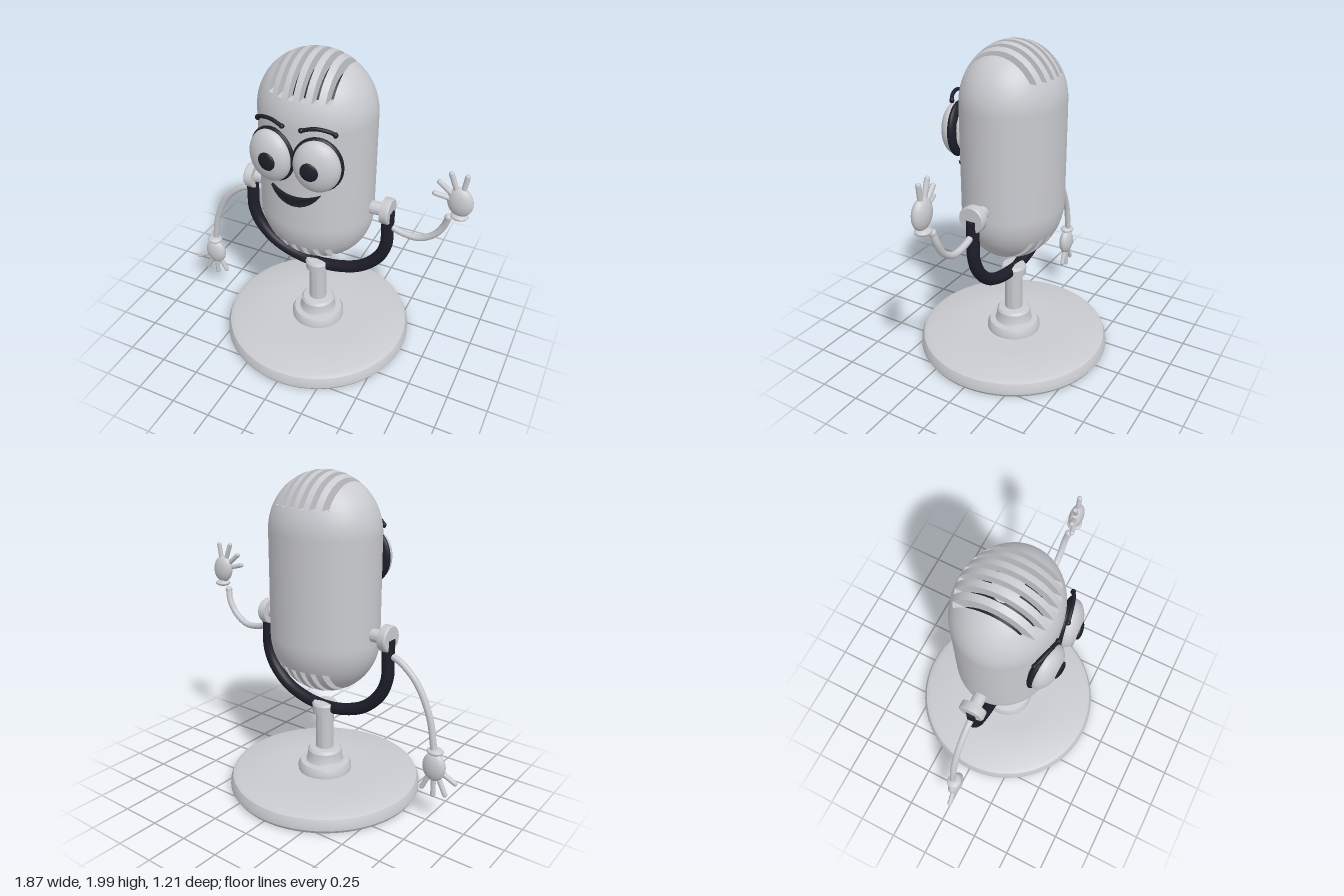
import * as THREE from 'three';
import { toCreasedNormals } from 'three/addons/utils/BufferGeometryUtils.js';

const V = (x, y, z = 0) => new THREE.Vector3(x, y, z);

export function createModel() {
  const metal = new THREE.MeshStandardMaterial({ color: 0xc9cacf });
  metal.name = 'light grey';
  const dark = new THREE.MeshStandardMaterial({ color: 0x1e1e2a });
  dark.name = 'near black';

  const model = new THREE.Group();
  model.name = 'microphone';
  const add = (name, geo, mat, parent = model, pos = [0, 0, 0]) => {
    const mesh = new THREE.Mesh(geo, mat);
    mesh.name = name;
    mesh.position.set(...pos);
    parent.add(mesh);
    return mesh;
  };
  const lathe = (pts, seg = 64) =>
    toCreasedNormals(new THREE.LatheGeometry(pts.map(p => new THREE.Vector2(...p)), seg), 0.6);
  const tube = (pts, r, seg = 40) =>
    new THREE.TubeGeometry(new THREE.CatmullRomCurve3(pts), seg, r, 14);
  const ball = (name, pos, radii, mat, parent = model) => {
    const mesh = add(name, new THREE.SphereGeometry(1, 36, 24), mat, parent, pos);
    mesh.scale.set(...radii);
    return mesh;
  };
  const rod = (name, a, b, r, mat, parent = model) => {
    const mesh = add(name, new THREE.CapsuleGeometry(r, a.distanceTo(b), 6, 12), mat, parent);
    mesh.position.copy(a).lerp(b, 0.5);
    mesh.quaternion.setFromUnitVectors(V(0, 1), b.clone().sub(a).normalize());
    return mesh;
  };

  // Base and stepped stand
  add('base', lathe([[0, 0], [0.595, 0], [0.607, 0.02], [0.605, 0.05], [0.59, 0.085],
    [0.56, 0.1], [0.3, 0.102], [0, 0.102]], 72), metal);
  add('stand', lathe([[0.17, 0.1], [0.17, 0.13], [0.155, 0.16], [0.12, 0.165], [0.112, 0.18],
    [0.108, 0.235], [0.095, 0.25], [0.056, 0.255], [0.056, 0.49], [0.078, 0.5], [0.08, 0.55],
    [0.07, 0.565], [0, 0.568]], 40), metal);

  // Body: a capsule, flattened front to back, with a slotted grille at each end
  const R = 0.35, CORE = 0.29, CUT = 0.16, TOP = 1.64, BOTTOM = 1.01;
  const body = new THREE.Group();
  body.name = 'body';
  body.scale.z = 0.857;
  model.add(body);
  const profile = [];
  const cutAngle = Math.asin(CUT / R);
  for (let i = 0; i <= 8; i++) {
    const a = -cutAngle * (1 - i / 8);
    profile.push(new THREE.Vector2(R * Math.cos(a), BOTTOM + R * Math.sin(a)));
  }
  for (let i = 0; i <= 8; i++) {
    const a = cutAngle * i / 8;
    profile.push(new THREE.Vector2(R * Math.cos(a), TOP + R * Math.sin(a)));
  }
  add('shell', new THREE.LatheGeometry(profile, 72), metal, body);

  // Lofts dome slices along x; each row is [x, sphere radius]
  const domeLoft = rows => {
    const n = 32, pos = [], idx = [];
    rows.forEach(([x, r], i) => {
      const rho = Math.sqrt(Math.max(r * r - x * x, 0));
      const limit = Math.acos(Math.min(1, CUT / rho));
      for (let j = 0; j <= n; j++) {
        const t = limit * (2 * j / n - 1);
        pos.push(x, rho * Math.cos(t), rho * Math.sin(t));
        if (i < rows.length - 1 && j < n) {
          const a = i * (n + 1) + j, b = a + n + 1;
          idx.push(a, a + 1, b, a + 1, b + 1, b);
        }
      }
    });
    const geo = new THREE.BufferGeometry();
    geo.setAttribute('position', new THREE.Float32BufferAttribute(pos, 3));
    geo.setIndex(idx);
    return toCreasedNormals(geo, 0.6);
  };

  const PITCH = 0.068, HALF = 0.018, EDGE = 0.187;
  const rim = Math.sqrt(R * R - CUT * CUT);
  const cheek = [];
  for (let i = 0; i <= 12; i++) cheek.push([EDGE + (rim - EDGE) * Math.sin(i / 12 * Math.PI / 2), R]);
  for (const [name, y, turn] of [['topGrille', TOP, 0], ['bottomGrille', BOTTOM, Math.PI]]) {
    const grille = new THREE.Group();
    grille.name = name;
    grille.position.y = y;
    grille.rotation.x = turn;
    body.add(grille);
    add('core', new THREE.SphereGeometry(CORE, 48, 16, 0, Math.PI * 2, 0.33, 0.75), dark, grille);
    add('coreCap', new THREE.SphereGeometry(CORE, 48, 8, 0, Math.PI * 2, 0, 0.33), metal, grille);
    add('ledge', new THREE.RingGeometry(0.235, rim, 64).rotateX(-Math.PI / 2), metal, grille, [0, CUT, 0]);
    for (let k = -2; k <= 2; k++) {
      const a = k * PITCH - HALF, b = k * PITCH + HALF;
      add('grilleBar', domeLoft([[a, CORE], [a, R], [k * PITCH, R], [b, R], [b, CORE]]), metal, grille);
    }
    add('leftCheek', domeLoft([[EDGE, CORE], ...cheek]), metal, grille);
    add('rightCheek', domeLoft([[EDGE, CORE], ...cheek].map(([x, r]) => [-x, r]).reverse()), metal, grille);
  }

  // Face
  for (const s of [-1, 1]) {
    const eye = new THREE.Group();
    eye.name = s > 0 ? 'leftEye' : 'rightEye';
    eye.position.set(s * 0.138, 1.465, 0.285);
    eye.rotation.y = s * 0.15;
    model.add(eye);
    ball('eyeRim', [0, 0, 0], [0.147, 0.168, 0.042], dark, eye);
    ball('eyeball', [0, 0, 0.018], [0.135, 0.157, 0.077], metal, eye);
    ball('pupil', [-s * 0.022, 0, 0.086], [0.054, 0.056, 0.02], dark, eye);
    add('eyebrow', tube([V(s * 0.235, 1.66, 0.265), V(s * 0.2, 1.682, 0.285),
      V(s * 0.13, 1.692, 0.305), V(s * 0.055, 1.672, 0.32)], 0.011, 24), dark);
    ball('browTip', [s * 0.232, 1.66, 0.268], [0.014, 0.017, 0.014], dark);
    ball('browTip', [s * 0.057, 1.673, 0.32], [0.015, 0.014, 0.015], dark);
  }
  const smile = new THREE.Shape();
  smile.moveTo(-0.152, 1.262);
  smile.quadraticCurveTo(0, 1.195, 0.152, 1.262);
  smile.bezierCurveTo(0.08, 1.145, -0.08, 1.145, -0.152, 1.262);
  const mouth = new THREE.ExtrudeGeometry(smile, { depth: 0.03, bevelEnabled: false, curveSegments: 20 });
  const mp = mouth.attributes.position;
  for (let i = 0; i < mp.count; i++) {
    mp.setZ(i, mp.getZ(i) - 0.008 + 0.3 * Math.sqrt(1 - (mp.getX(i) / R) ** 2));
  }
  mouth.computeVertexNormals();
  add('mouth', mouth, dark);

  // Yoke and its pivots
  const half = [[0.455, 1.07], [0.455, 0.95], [0.453, 0.83], [0.41, 0.72], [0.3, 0.61], [0.15, 0.55]];
  add('yoke', tube([...half.map(([x, y]) => V(-x, y)), V(0, 0.533),
    ...half.slice().reverse().map(([x, y]) => V(x, y))], 0.038, 90), dark);
  for (const s of [-1, 1]) {
    const end = add('yokeEnd', new THREE.CircleGeometry(0.038, 14), dark, model, [s * 0.455, 1.07, 0]);
    end.rotation.x = -Math.PI / 2;
    const pivot = add('pivot', lathe([[0.055, -0.1], [0.04, -0.08], [0.04, 0], [0.078, 0],
      [0.08, 0.01], [0.08, 0.045], [0.074, 0.053], [0, 0.053]], 36), metal, model, [s * 0.423, 1.075, 0]);
    pivot.rotation.z = -s * Math.PI / 2;
  }

  // Arms and four-fingered hands
  const limb = (side, path, cuff, palm, tilt, tips) => {
    const arm = new THREE.Group();
    arm.name = side + 'Arm';
    model.add(arm);
    add('sleeve', tube(path, 0.02), metal, arm);
    ball('wrist', path[path.length - 1].toArray(), [0.022, 0.022, 0.022], metal, arm);
    ball('cuff', cuff, [0.05, 0.02, 0.045], metal, arm);
    ball('palm', palm, [0.073, 0.09, 0.042], metal, arm).rotation.z = tilt;
    const root = V(...palm);
    for (const tip of tips) {
      const end = V(...tip);
      rod('finger', root.clone().lerp(end, 0.35), end, 0.015, metal, arm);
    }
  };
  limb('right', [V(-0.45, 0.985), V(-0.54, 0.95), V(-0.65, 0.85), V(-0.74, 0.67), V(-0.78, 0.47)],
    [-0.783, 0.46, 0.01], [-0.78, 0.36, 0.012], 0,
    [[-0.91, 0.285, 0.03], [-0.858, 0.2, 0.015], [-0.783, 0.178, 0.01], [-0.712, 0.21, 0.005]]);
  limb('left', [V(0.45, 0.985), V(0.54, 0.95), V(0.65, 0.945), V(0.74, 1), V(0.79, 1.08), V(0.81, 1.15, 0.01)],
    [0.872, 1.185, 0.02], [0.868, 1.28, 0.025], 0.2,
    [[0.73, 1.318, 0.055], [0.747, 1.385, 0.04], [0.803, 1.447, 0.03], [0.89, 1.443, 0.02]]);

  return model;
}
